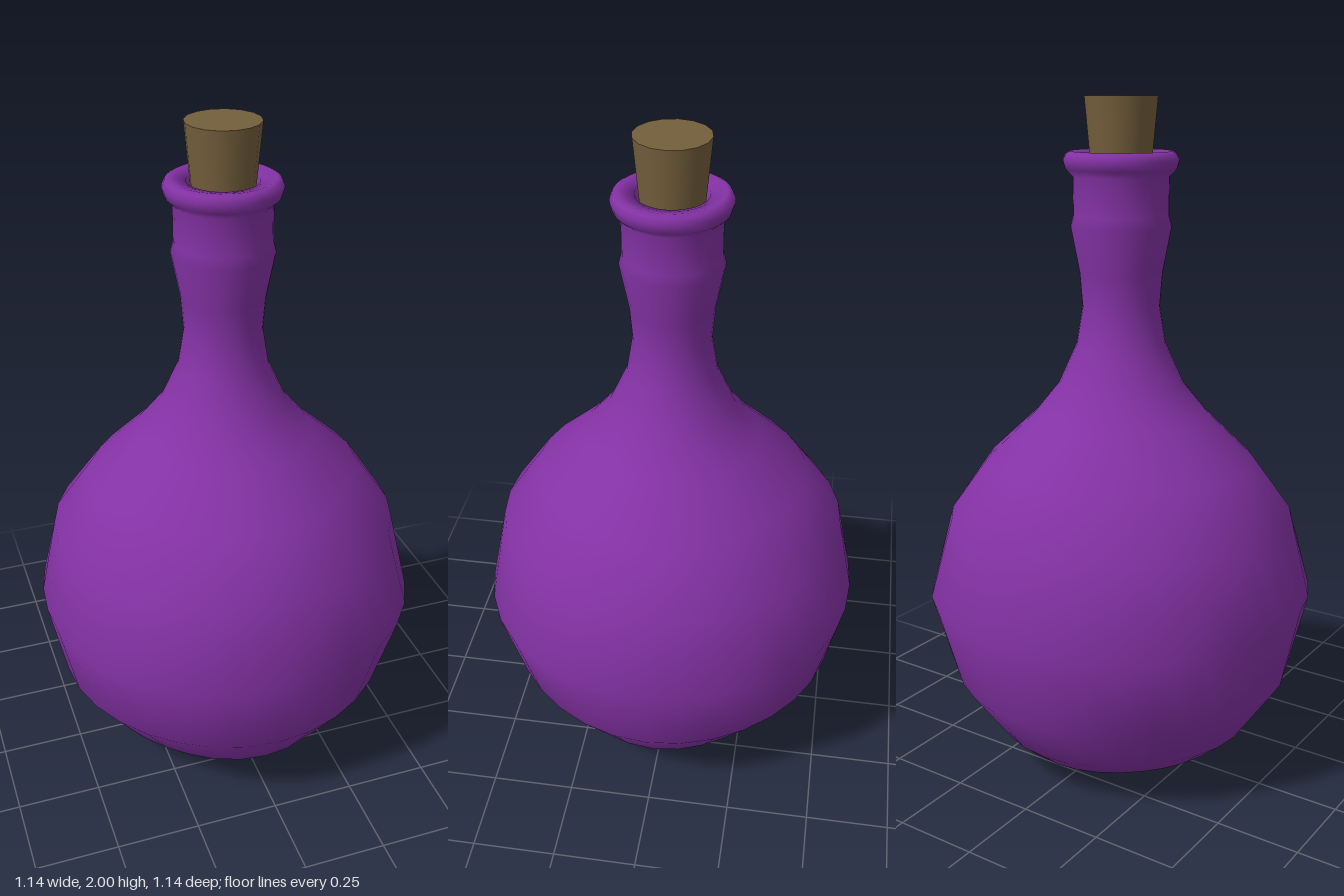
import * as THREE from 'three';
import { mergeVertices } from 'three/addons/utils/BufferGeometryUtils.js';

const glass = new THREE.MeshStandardMaterial({ color: 0x8432a5 });
glass.name = 'purple glass';
const corkBrown = new THREE.MeshStandardMaterial({ color: 0x745f3c });
corkBrown.name = 'cork brown';

// Turned shape; an optional rule swells or shrinks it around the diagonals
function turned(points, segments, swell) {
  let geo = new THREE.LatheGeometry(points.map(([r, y]) => new THREE.Vector2(r, y)), segments);
  geo.deleteAttribute('uv');
  geo.deleteAttribute('normal');
  if (swell) {
    const p = geo.attributes.position;
    for (let i = 0; i < p.count; i++) {
      const x = p.getX(i), z = p.getZ(i);
      const k = 1 + swell(p.getY(i)) * Math.sin(2 * Math.atan2(z, x)) ** 2;
      p.setX(i, x * k);
      p.setZ(i, z * k);
    }
  }
  geo = mergeVertices(geo, 1e-4);
  geo.computeVertexNormals();
  return geo;
}

export function createModel() {
  const model = new THREE.Group();
  model.name = 'corkedBottle';

  // Round belly, shoulder, waisted neck, rolled lip and inner throat
  const profile = [
    [0, 0.003], [0.13, 0.01], [0.25, 0.032], [0.34, 0.07], [0.41, 0.13], [0.52, 0.29],
    [0.57, 0.54], [0.52, 0.79], [0.408, 0.955], [0.262, 1.085], [0.185, 1.18],
    [0.131, 1.3], [0.113, 1.41], [0.121, 1.51], [0.146, 1.64], [0.138, 1.67],
    [0.138, 1.78], [0.159, 1.8], [0.166, 1.825], [0.158, 1.843], [0.145, 1.85],
    [0.1, 1.84], [0.09, 1.74],
  ];
  // Slightly boxy belly: fuller at the equator, flatter towards the corners
  const boxy = (y) => {
    const s2 = Math.min(1, ((y - 0.54) / 0.55) ** 2);
    return (0.025 - 0.2 * s2) * (1 - s2);
  };
  const bottle = new THREE.Mesh(turned(profile, 32, boxy), glass);
  bottle.name = 'bottle';
  model.add(bottle);

  // Tapered stopper pushed into the throat
  const cork = new THREE.Mesh(new THREE.CylinderGeometry(0.105, 0.082, 0.25, 16), corkBrown);
  cork.name = 'cork';
  cork.position.y = 1.875;
  model.add(cork);

  return model;
}
